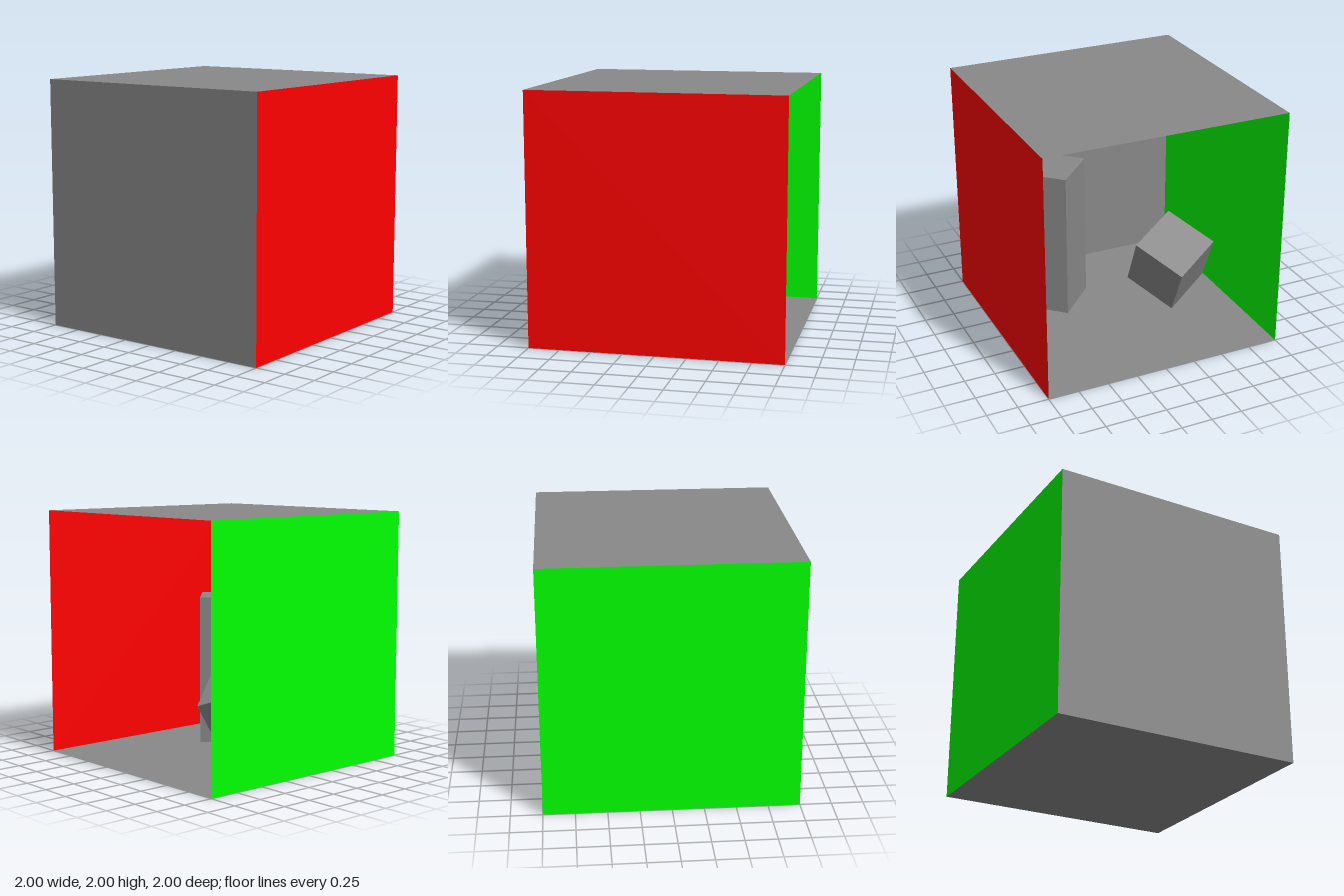
import * as THREE from 'three';

export function createModel() {
  const group = new THREE.Group();
  const material = (color) => new THREE.MeshStandardMaterial({ color, side: THREE.DoubleSide });
  const grey = material(0x888888);
  const red = material(0xff0000);
  const green = material(0x00ff00);
  const pale = material(0xcccccc);

  function add(name, geometry, mat, position, rotation = [0, 0, 0]) {
    const mesh = new THREE.Mesh(geometry, mat);
    mesh.name = name;
    mesh.position.set(...position);
    mesh.rotation.set(...rotation);
    group.add(mesh);
  }

  // Room shell: thin panels facing inwards, open on the +x side
  const panel = new THREE.PlaneGeometry(2, 2);
  const q = Math.PI / 2;
  add('floor', panel, grey, [0, 0, 0], [-q, 0, 0]);
  add('ceiling', panel, grey, [0, 2, 0], [q, 0, 0]);
  add('endWall', panel, grey, [-1, 1, 0], [0, q, 0]);
  add('redWall', panel, red, [0, 1, 1], [0, Math.PI, 0]);
  add('greenWall', panel, green, [0, 1, -1]);

  // Square lamp just under the ceiling
  add('ceilingLamp', new THREE.PlaneGeometry(1, 1), pale, [0, 1.99, 0], [q, 0, 0]);

  // Upright block turned about its vertical axis
  add('tallBlock', new THREE.BoxGeometry(0.45, 1.24, 0.45), grey, [-0.4, 0.635, 0.387], [0, 0.81, 0]);

  // Small block tumbling above the floor
  add('tiltedBlock', new THREE.BoxGeometry(0.464, 0.493, 0.463), grey, [0.18, 0.47, -0.446], [-0.63, -0.871, -0.854]);

  return group;
}
